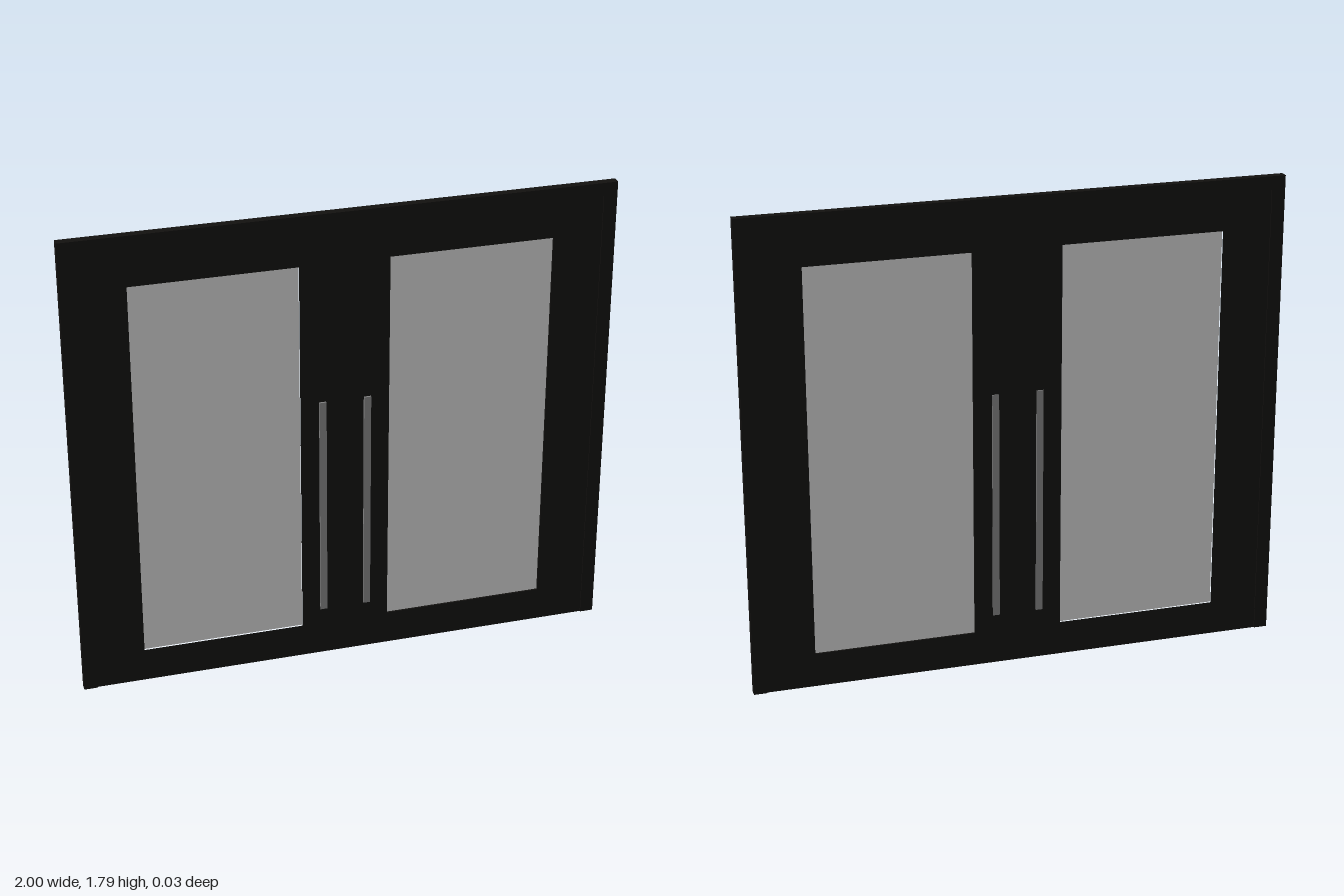
import * as THREE from 'three';

const mat = (color) => new THREE.MeshStandardMaterial({ color });

export function createModel() {
  const group = new THREE.Group();
  const black = mat(0x12110f), glass = mat(0xd0d4d2), metal = mat(0x808080);

  const W = 1, H = 1.79;            // half width and height of the frame
  const JAMB = 0.05;                // width of jambs and head
  const MID = -0.0015;              // middle of the frame's depth

  const add = (parent, name, geometry, material) => {
    const mesh = new THREE.Mesh(geometry, material);
    mesh.name = name;
    parent.add(mesh);
    return mesh;
  };
  // Box given by its limits on each axis
  const box = (x0, x1, y0, y1, z0, z1) =>
    new THREE.BoxGeometry(x1 - x0, y1 - y0, z1 - z0)
      .translate((x0 + x1) / 2, (y0 + y1) / 2, (z0 + z1) / 2);
  // Flat shape centred on the frame's depth
  const slab = (shape, depth) =>
    new THREE.ExtrudeGeometry(shape, { depth, bevelEnabled: false }).translate(0, 0, MID - depth / 2);

  // Outer frame: two jambs and a head, open at the floor
  const frame = new THREE.Shape([
    [-W, 0], [-W + JAMB, 0], [-W + JAMB, H - JAMB], [W - JAMB, H - JAMB],
    [W - JAMB, 0], [W, 0], [W, H], [-W, H],
  ].map(([x, y]) => new THREE.Vector2(x, y)));
  add(group, 'doorFrame', slab(frame, 0.031), black);

  // Two glazed leaves, mirrored about the centre
  for (const s of [1, -1]) {
    const leaf = new THREE.Group();
    leaf.name = s > 0 ? 'leftDoor' : 'rightDoor';
    group.add(leaf);
    const rect = (Type, x0, x1, y0, y1) => new Type([
      [x0, y0], [x1, y0], [x1, y1], [x0, y1],
    ].map(([x, y]) => new THREE.Vector2(s * x, y)));
    const span = (x0, x1) => (s > 0 ? [x0, x1] : [-x1, -x0]);

    // Leaf border with the window opening
    const border = rect(THREE.Shape, 0, W - JAMB, 0, H - JAMB);
    border.holes.push(rect(THREE.Path, 0.165, 0.768, 0.13, 1.6));
    add(leaf, 'doorLeaf', slab(border, 0.022), black);

    // Glass pane
    add(leaf, 'glassPane', box(...span(0.165, 0.768), 0.13, 1.6, MID - 0.004, MID + 0.004), glass);

    // Long pull handles, one on each face
    add(leaf, 'frontHandle', box(...span(0.07, 0.096), 0.195, 1.065, 0.009, 0.017), metal);
    add(leaf, 'backHandle', box(...span(0.07, 0.096), 0.195, 1.065, -0.017, -0.012), metal);
  }
  return group;
}
